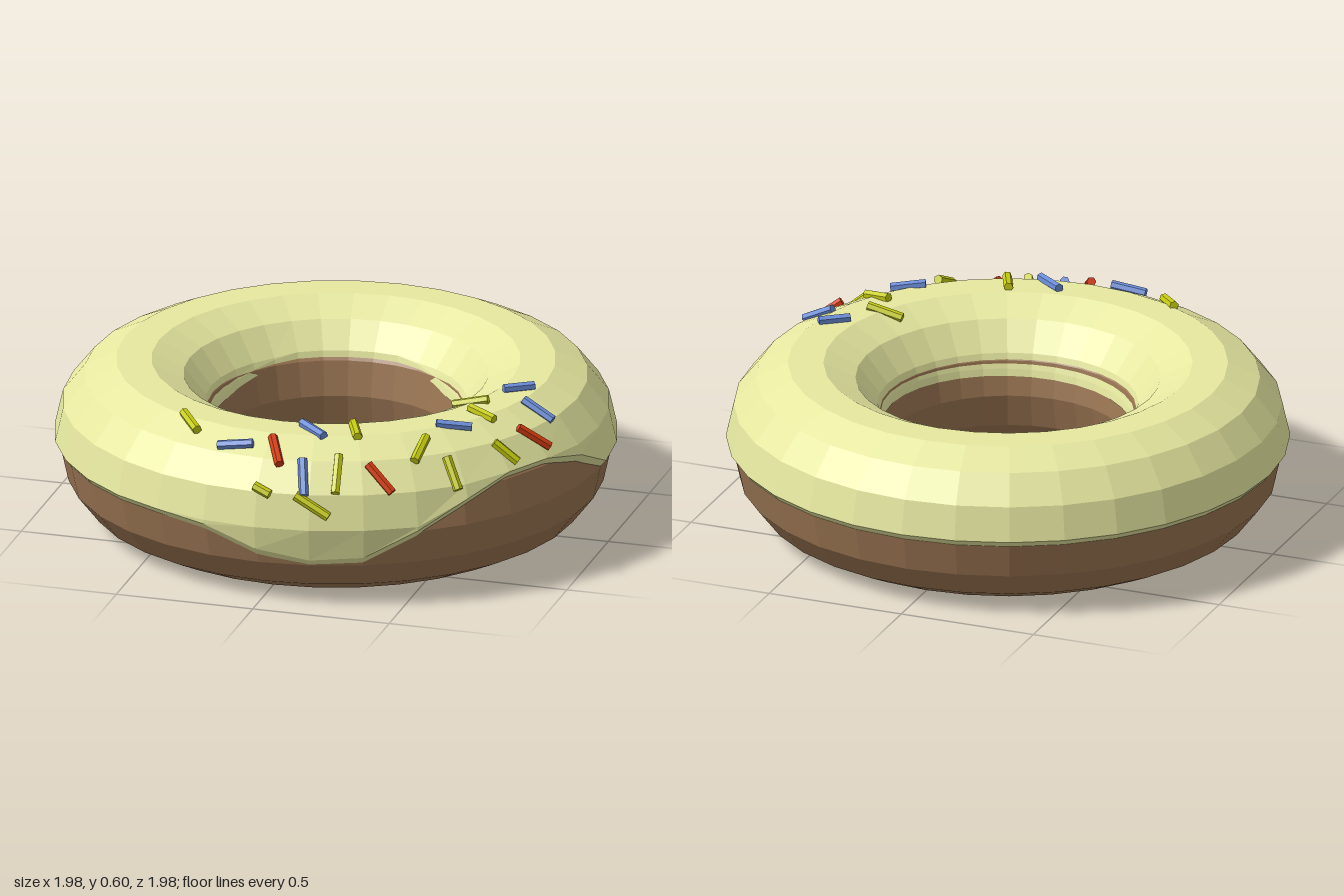
import * as THREE from 'three';

const SEG = 32, TUBE = 14, CZ = -0.008;
// ring radius, tube width, tube height and centre height
const DOUGH = { R: 0.695, a: 0.275, b: 0.282, y: 0.275 };
const ICING = { R: 0.71, a: 0.28, b: 0.282, y: 0.30 };

const mat = (color) => new THREE.MeshStandardMaterial({ color, flatShading: true });

// Straight-line interpolation through [degrees, height] pairs
function heightAt(keys, deg) {
  for (let i = 1; i < keys.length; i++) {
    const [d0, h0] = keys[i - 1], [d1, h1] = keys[i];
    if (deg <= d1) return h0 + (h1 - h0) * (deg - d0) / (d1 - d0);
  }
  return keys[keys.length - 1][1];
}

// Angles run from +x towards +z
const OUTER_EDGE = [[0, 0.30], [6, 0.34], [16, 0.43], [35, 0.43], [45, 0.375], [54, 0.31],
  [64, 0.20], [75, 0.17], [88, 0.20], [99, 0.28], [108, 0.30], [360, 0.30]];
const INNER_EDGE = [[0, 0.38], [135, 0.36], [190, 0.37], [235, 0.43], [285, 0.43],
  [315, 0.38], [360, 0.38]];

function makeDough() {
  const geo = new THREE.TorusGeometry(DOUGH.R, DOUGH.a, TUBE, SEG);
  geo.rotateX(-Math.PI / 2).scale(1, DOUGH.b / DOUGH.a, 1).translate(0, DOUGH.y, CZ);
  const mesh = new THREE.Mesh(geo, mat(0x9a7552));
  mesh.name = 'dough';
  return mesh;
}

// Cross-section of the icing: outer lip, tube rows clamped to the edges, inner lip
function icingSection(deg) {
  const yo = heightAt(OUTER_EDGE, deg), yi = heightAt(INNER_EDGE, deg);
  const lo = Math.asin((yo - ICING.y) / ICING.b);
  const hi = Math.PI - Math.asin((yi - ICING.y) / ICING.b);
  const onDough = (y, side) => {
    const s = (y - DOUGH.y) / DOUGH.b;
    return [DOUGH.R + side * DOUGH.a * 0.985 * Math.sqrt(1 - s * s), y];
  };
  const pts = [onDough(yo - 0.028, 1)];
  for (let k = -2; k <= TUBE / 2; k++) {
    const t = THREE.MathUtils.clamp(k * 2 * Math.PI / TUBE, lo, hi);
    pts.push([ICING.R + ICING.a * Math.cos(t), ICING.y + ICING.b * Math.sin(t)]);
  }
  pts.push(onDough(yi - 0.025, -1));
  return pts;
}

function makeIcing() {
  const pos = [], index = [];
  let rows = 0;
  for (let j = 0; j < SEG; j++) {
    const f = j / SEG * Math.PI * 2;
    const section = icingSection(j / SEG * 360);
    rows = section.length;
    for (const [r, y] of section) pos.push(r * Math.cos(f), y, r * Math.sin(f) + CZ);
  }
  for (let j = 0; j < SEG; j++) {
    for (let i = 0; i < rows - 1; i++) {
      const a = j * rows + i, c = ((j + 1) % SEG) * rows + i;
      index.push(a, a + 1, c, c, a + 1, c + 1);
    }
  }
  let geo = new THREE.BufferGeometry();
  geo.setAttribute('position', new THREE.Float32BufferAttribute(pos, 3));
  geo.setIndex(index);
  geo = geo.toNonIndexed();
  geo.computeVertexNormals();
  const material = mat(0xe6e8a0);
  material.side = THREE.DoubleSide;
  const mesh = new THREE.Mesh(geo, material);
  mesh.name = 'icing';
  return mesh;
}

// Point just above the icing at a given x, z
function onIcing(x, z) {
  const r = Math.min(Math.hypot(x, z - CZ), ICING.R + ICING.a - 0.001);
  const c = (r - ICING.R) / ICING.a, s = Math.sqrt(1 - c * c);
  const f = Math.atan2(z - CZ, x), lift = 0.006;
  const rr = r + lift * c;
  return new THREE.Vector3(rr * Math.cos(f), ICING.y + ICING.b * s + lift * s, rr * Math.sin(f) + CZ);
}

// Sprinkle ends as x, z, x, z, grouped by colour
const SPRINKLES = {
  blueSprinkle: [0x6a8cd8, [
    [0.66, 0.14, 0.75, 0.075], [0.75, 0.205, 0.86, 0.22], [0.53, 0.53, 0.645, 0.485],
    [0.08, 0.665, 0.185, 0.75], [-0.175, 0.84, -0.05, 0.83], [0.14, 0.86, 0.17, 0.94]]],
  redSprinkle: [0xd63c10, [
    [0.78, 0.37, 0.88, 0.325], [0.01, 0.79, 0.065, 0.89], [0.365, 0.81, 0.46, 0.835]]],
  yellowSprinkle: [0xc6cc10, [
    [0.515, 0.27, 0.64, 0.26], [0.60, 0.355, 0.70, 0.395], [0.73, 0.495, 0.81, 0.48],
    [0.51, 0.73, 0.52, 0.62], [0.605, 0.655, 0.66, 0.70], [0.25, 0.61, 0.30, 0.72],
    [-0.35, 0.675, -0.27, 0.775], [0.26, 0.815, 0.275, 0.91], [-0.01, 0.945, 0.05, 0.955],
    [0.14, 0.945, 0.26, 0.942]]],
};

function makeSprinkles() {
  const group = new THREE.Group();
  group.name = 'sprinkles';
  const up = new THREE.Vector3(0, 1, 0);
  for (const [name, [color, list]] of Object.entries(SPRINKLES)) {
    const material = mat(color);
    for (const [x0, z0, x1, z1] of list) {
      const p = onIcing(x0, z0), q = onIcing(x1, z1);
      const dir = q.clone().sub(p);
      const mesh = new THREE.Mesh(new THREE.CylinderGeometry(0.017, 0.017, dir.length(), 6), material);
      mesh.position.copy(p).add(q).multiplyScalar(0.5);
      mesh.quaternion.setFromUnitVectors(up, dir.normalize());
      mesh.name = name;
      group.add(mesh);
    }
  }
  return group;
}

export function createModel() {
  const model = new THREE.Group();
  model.name = 'doughnut';
  model.add(makeDough(), makeIcing(), makeSprinkles());
  return model;
}
